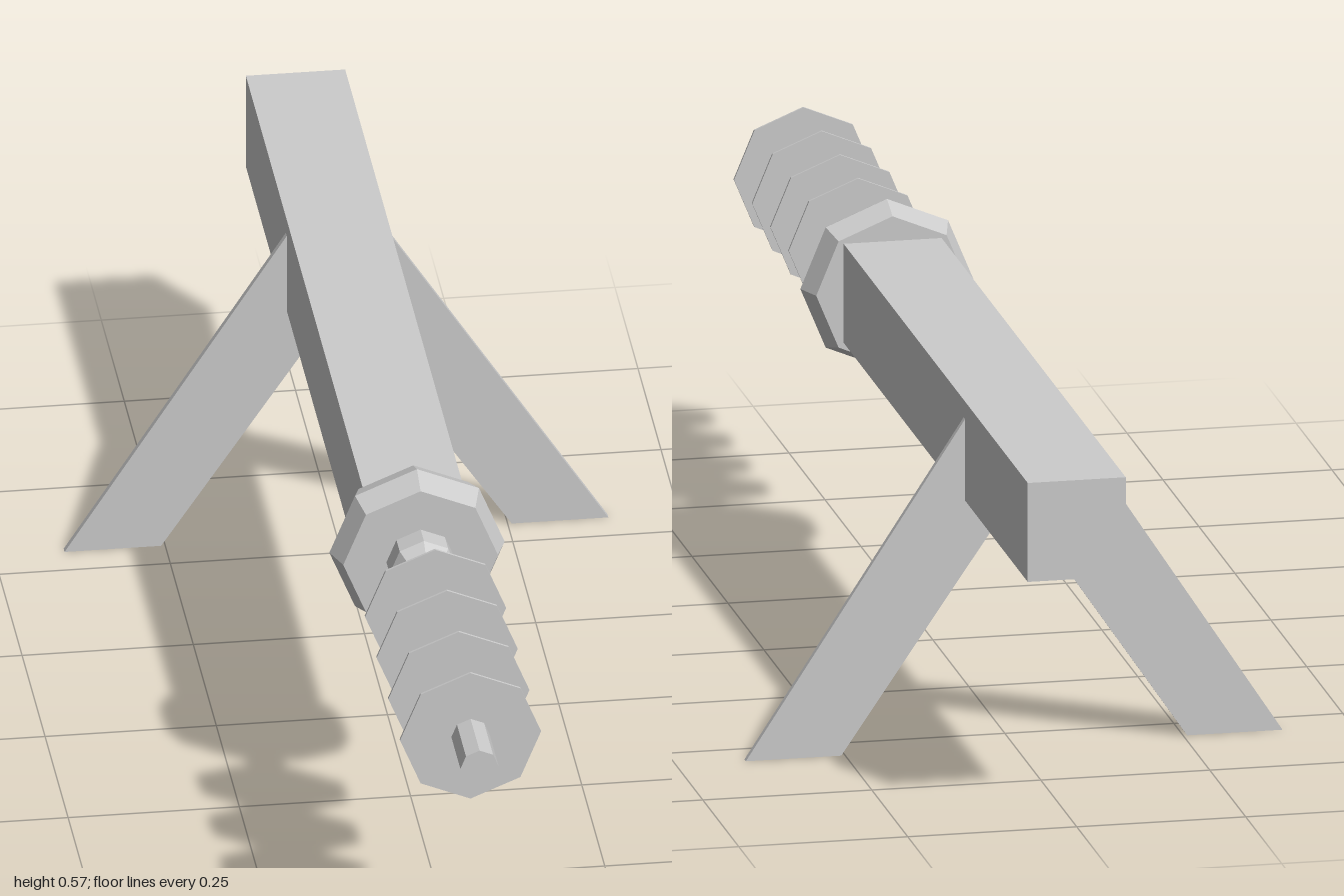
import * as THREE from 'three';

const AXIS_Y = 0.446;
const material = new THREE.MeshStandardMaterial({ color: 0xcccccc, flatShading: true });

export function createModel() {
  const model = new THREE.Group();
  model.name = 'model';

  const add = (name, geometry, y = 0, z = 0) => {
    const mesh = new THREE.Mesh(geometry, material);
    mesh.name = name;
    mesh.position.set(0, y, z);
    model.add(mesh);
  };

  // Eight-sided turned part along z; profile lists [radius, z] from back to front
  const turned = (name, profile) => {
    const points = profile.map(([r, z]) => new THREE.Vector2(r, z));
    add(name, new THREE.LatheGeometry(points, 8).rotateX(Math.PI / 2), AXIS_Y);
  };

  // Square body
  add('body', new THREE.BoxGeometry(0.145, 0.149, 1.28), 0.4475, -0.36);

  // Bevelled ring, tapered collar and rod
  turned('ring', [[0, 0.28], [0.113, 0.28], [0.128, 0.32], [0.113, 0.36], [0, 0.36]]);
  turned('collar', [[0, 0.355], [0.05, 0.355], [0.05, 0.395], [0.034, 0.42], [0, 0.42]]);
  turned('rod', [[0, 0.41], [0.028, 0.41], [0.028, 1], [0, 1]]);

  // Thin discs spaced along the rod
  for (const z of [0.52, 0.646, 0.773, 0.9]) {
    turned('disc', [[0, z - 0.002], [0.103, z - 0.002], [0.103, z + 0.002], [0, z + 0.002]]);
  }

  // Mirrored pair of flat splayed legs, joined under the body
  for (const [name, side] of [['leftLeg', 1], ['rightLeg', -1]]) {
    const outline = [[0.256, 0], [0.397, 0], [0.0725, 0.496], [0, 0.496], [0, 0.375]];
    const shape = new THREE.Shape(outline.map(([x, y]) => new THREE.Vector2(side * x, y)));
    add(name, new THREE.ExtrudeGeometry(shape, { depth: 0.01, bevelEnabled: false }), 0, -0.565);
  }

  return model;
}
